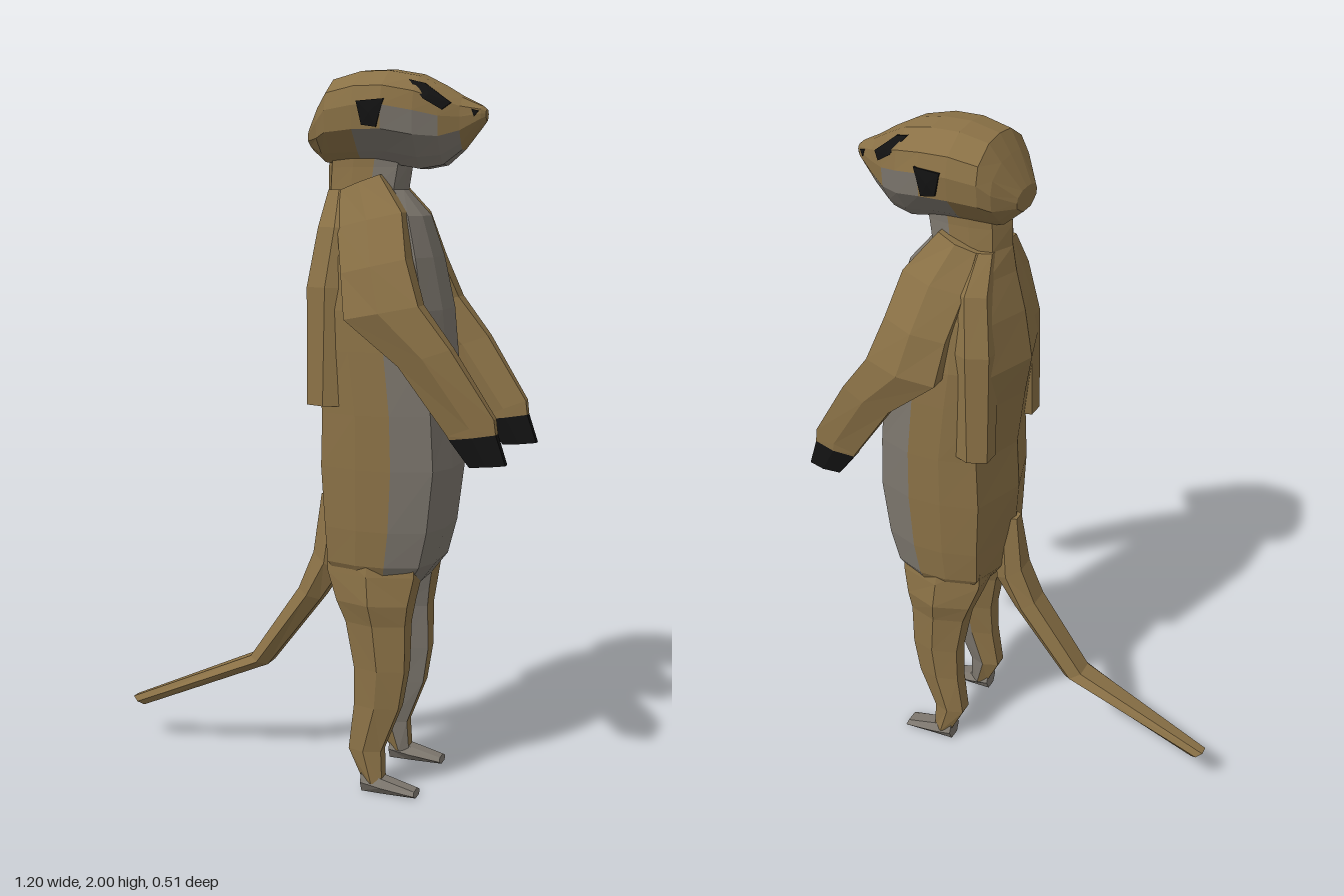
import * as THREE from 'three';
import { ConvexGeometry } from 'three/addons/geometries/ConvexGeometry.js';

const mat = (color) => new THREE.MeshStandardMaterial({ color, flatShading: true, roughness: 1 });
const MATS = { fur: mat(0x8a7146), belly: mat(0x7c766d), black: mat(0x121212) };

// Half cross-sections as [u, w]: u runs from edge A to edge B, w is the share of the half width
const LIMB = [[0, 0.55], [0.5, 1], [1, 0.55]];
const TORSO = [[0, 0], [0.13, 0.85], [0.4, 1], [0.65, 1], [0.92, 0.8], [1, 0.35]];
const HEAD = [[0, 0.35], [0.12, 0.62], [0.35, 0.97], [0.6, 1], [0.8, 0.9], [0.97, 0.45], [1, 0]];

// One closed ring from a row [ax, ay, bx, by, z0, z1]
function ring([ax, ay, bx, by, z0, z1], half) {
  const mirrored = half.filter((p) => p[1] !== 0).reverse().map(([u, w]) => [u, -w]);
  return [...half, ...mirrored].map(([u, w]) => new THREE.Vector3(
    ax + (bx - ax) * u, ay + (by - ay) * u, (z0 + z1) / 2 + (w * (z1 - z0)) / 2));
}

// Capped skin over the rows; pick(i, j) names the coat of each facet; side -1 mirrors in z
function loft(name, rows, half, pick = () => 'fur', side = 1) {
  const rings = rows.map((r) => ring(r, half));
  rings.flat().forEach((p) => { p.z *= side; });
  const n = rings[0].length, last = rings.length - 1;
  const tris = [];
  for (let i = 0; i < last; i++) {
    for (let j = 0; j < n; j++) {
      const k = (j + 1) % n, coat = pick(i, j);
      const a = rings[i][j], b = rings[i][k], c = rings[i + 1][k], d = rings[i + 1][j];
      tris.push([coat, a, b, c], [coat, a, c, d]);
    }
  }
  for (const e of [0, last]) {
    const mid = rings[e].reduce((s, p) => s.add(p), new THREE.Vector3()).divideScalar(n);
    for (let j = 0; j < n; j++) {
      const p = rings[e][j], q = rings[e][(j + 1) % n], coat = pick(e ? last - 1 : 0, j);
      tris.push(e ? [coat, mid, p, q] : [coat, mid, q, p]);
    }
  }
  // The signed volume tells whether the facets point outward
  const volume = tris.reduce((s, [, a, b, c]) => s + a.dot(b.clone().cross(c)), 0);
  const group = new THREE.Group();
  group.name = name;
  for (const coat of Object.keys(MATS)) {
    const points = tris.filter((t) => t[0] === coat)
      .flatMap(([, a, b, c]) => (volume > 0 ? [a, b, c] : [a, c, b]));
    if (!points.length) continue;
    const geo = new THREE.BufferGeometry().setFromPoints(points);
    geo.computeVertexNormals();
    const mesh = new THREE.Mesh(geo, MATS[coat]);
    mesh.name = `${name} ${coat}`;
    group.add(mesh);
  }
  return group;
}

// Head sections: x, top, bottom, half width
const SKULL = [
  [-0.005, 1.85, 1.79, 0.06], [0.04, 1.93, 1.755, 0.12], [0.07, 1.98, 1.75, 0.14],
  [0.15, 2.0, 1.75, 0.15], [0.23, 2.0, 1.75, 0.152], [0.31, 1.985, 1.735, 0.125],
  [0.37, 1.955, 1.745, 0.09], [0.42, 1.925, 1.785, 0.055], [0.47, 1.9, 1.845, 0.028],
  [0.482, 1.89, 1.86, 0.015],
];

// Distance of the head surface from the middle plane at (x, y)
function headZ(x, y) {
  const i = Math.max(0, SKULL.findIndex((s) => s[0] >= x) - 1);
  const t = (x - SKULL[i][0]) / (SKULL[i + 1][0] - SKULL[i][0]);
  const [, top, bottom, w] = SKULL[i].map((v, k) => THREE.MathUtils.lerp(v, SKULL[i + 1][k], t));
  const u = THREE.MathUtils.clamp((y - bottom) / (top - bottom), 0, 1);
  const j = Math.min(HEAD.length - 2, Math.max(0, HEAD.findIndex((p) => p[0] >= u) - 1));
  const f = (u - HEAD[j][0]) / (HEAD[j + 1][0] - HEAD[j][0]);
  return w * THREE.MathUtils.lerp(HEAD[j][1], HEAD[j + 1][1], f);
}

// Dark marking hugging the head surface
function marking(name, outline, side, lift) {
  const mid = [0, 1].map((k) => outline.reduce((s, p) => s + p[k], 0) / outline.length);
  const points = [...outline, mid].flatMap(([x, y]) => {
    const z = headZ(x, y);
    return [z + lift, z - 0.02].map((d) => new THREE.Vector3(x, y, d * side));
  });
  const mesh = new THREE.Mesh(new ConvexGeometry(points), MATS.black);
  mesh.name = name;
  return mesh;
}

export function createModel() {
  const model = new THREE.Group();
  model.name = 'standingMeerkat';

  // Torso and neck: y, back x, front x, half width
  const torso = [
    [0.6, 0.09, 0.33, 0.15], [0.66, 0.045, 0.375, 0.178], [0.76, 0.035, 0.4, 0.186],
    [0.93, 0.02, 0.42, 0.19], [1.08, 0.025, 0.41, 0.19], [1.25, 0.0, 0.395, 0.187],
    [1.36, -0.02, 0.385, 0.183], [1.5, 0.0, 0.355, 0.165], [1.61, 0.025, 0.32, 0.13],
    [1.68, 0.035, 0.26, 0.075], [1.74, 0.035, 0.27, 0.07], [1.8, 0.04, 0.28, 0.07],
  ].map(([y, b, f, w]) => [b, y, f, y, -w, w]);
  model.add(loft('torso', torso, TORSO, (i, j) => (j >= 3 && j <= 7 ? 'belly' : 'fur')));

  // Head with a pale throat and cheeks
  const skull = SKULL.map(([x, t, b, w]) => [x, b, x, t, -w, w]);
  model.add(loft('head', skull, HEAD, (i, j) => {
    const m = j === 12 ? -1 : Math.min(j, 11 - j);
    const pale = (m <= 1 && i >= 3 && i <= 6) || (m === 2 && (i === 4 || i === 5));
    return pale ? 'belly' : 'fur';
  }));

  // Tail: drops from the rump, then bends outward
  const tail = [
    [0.02, 0.82, 0.1, 0.82, -0.03, 0.03], [0.0, 0.65, 0.08, 0.6, -0.055, 0.055],
    [-0.045, 0.54, 0.02, 0.51, -0.058, 0.058], [-0.2, 0.315, -0.145, 0.295, -0.052, 0.052],
    [-0.6, 0.135, -0.565, 0.112, -0.025, 0.025],
  ];
  model.add(loft('tail', tail, LIMB));

  for (const side of [1, -1]) {
    const label = side > 0 ? 'left' : 'right';

    // Shoulder blade
    model.add(loft(`${label}ShoulderBlade`, [
      [0.06, 1.68, 0.13, 1.68, 0.03, 0.085], [0.05, 1.58, 0.16, 1.58, 0.05, 0.15],
      [0.03, 1.42, 0.15, 1.42, 0.08, 0.185], [0.035, 1.1, 0.14, 1.1, 0.1, 0.193],
    ], LIMB, undefined, side));

    // Arm with a dark paw
    model.add(loft(`${label}Arm`, [
      [0.1, 1.68, 0.21, 1.72, 0.04, 0.1], [0.11, 1.58, 0.29, 1.62, 0.06, 0.165],
      [0.14, 1.46, 0.32, 1.5, 0.11, 0.225], [0.16, 1.34, 0.365, 1.38, 0.15, 0.255],
      [0.31, 1.22, 0.45, 1.27, 0.165, 0.243], [0.44, 1.04, 0.565, 1.09, 0.165, 0.217],
      [0.445, 1.03, 0.57, 1.05, 0.165, 0.215], [0.5, 0.96, 0.597, 0.97, 0.17, 0.212],
    ], LIMB, (i) => (i >= 6 ? 'black' : 'fur'), side));

    // Leg: y, back x, front x, inner z, outer z
    const leg = [
      [0.72, 0.08, 0.33, 0.03, 0.165], [0.63, 0.085, 0.335, 0.01, 0.182],
      [0.55, 0.115, 0.32, 0.03, 0.19], [0.49, 0.14, 0.312, 0.05, 0.176],
      [0.36, 0.165, 0.312, 0.068, 0.17], [0.25, 0.165, 0.295, 0.08, 0.165],
      [0.12, 0.15, 0.245, 0.088, 0.163], [0.03, 0.195, 0.25, 0.095, 0.166],
    ].map(([y, b, f, z0, z1]) => [b, y, f, y, z0, z1]);
    model.add(loft(`${label}Leg`, leg, LIMB, (i, j) => (j === 3 ? 'belly' : 'fur'), side));

    // Foot
    model.add(loft(`${label}Foot`, [
      [0.19, 0, 0.19, 0.06, 0.1, 0.165], [0.25, 0, 0.25, 0.042, 0.098, 0.168],
      [0.35, 0, 0.345, 0.018, 0.102, 0.166],
    ], LIMB, () => 'belly', side));

    // Eye patch, ear and nostril
    model.add(marking(`${label}EyePatch`,
      [[0.29, 1.967], [0.33, 1.957], [0.4, 1.905], [0.38, 1.887], [0.335, 1.915]], side, 0.008));
    model.add(marking(`${label}Ear`,
      [[0.165, 1.91], [0.24, 1.915], [0.22, 1.842], [0.18, 1.848]], side, 0.007));
    model.add(marking(`${label}Nostril`,
      [[0.448, 1.89], [0.466, 1.885], [0.455, 1.87]], side, 0.004));
  }
  return model;
}
